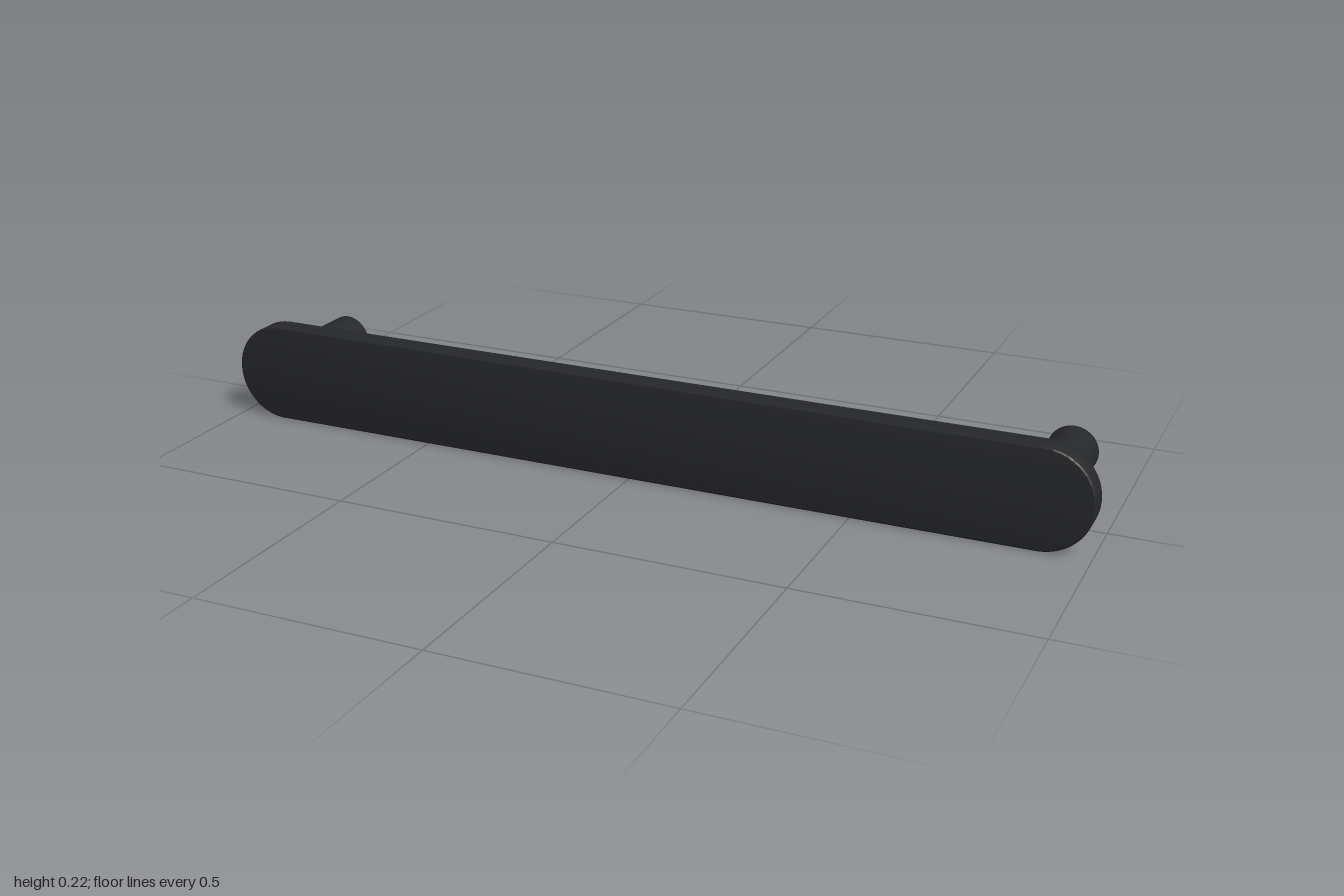
import * as THREE from 'three';
import { toCreasedNormals } from 'three/addons/utils/BufferGeometryUtils.js';

const R = 0.111;        // half height of the bar
const END = 1 - R;      // centre of each rounded end
const BACK = -0.144, BAR_BACK = 0.09, FRONT = 0.144;

export function createModel() {
  const model = new THREE.Group();
  model.name = 'pullHandle';
  const material = new THREE.MeshStandardMaterial({ color: 0x262729 });

  // Flat bar with fully rounded ends and a fine softened edge
  const outline = new THREE.Shape();
  outline.moveTo(-END, -R);
  outline.lineTo(END, -R);
  outline.absarc(END, 0, R, -Math.PI / 2, Math.PI / 2, false);
  outline.lineTo(-END, R);
  outline.absarc(-END, 0, R, Math.PI / 2, Math.PI * 1.5, false);
  const edge = 0.004;
  const barGeometry = new THREE.ExtrudeGeometry(outline, {
    depth: FRONT - BAR_BACK - 2 * edge,
    curveSegments: 32,
    bevelThickness: edge,
    bevelSize: edge,
    bevelOffset: -edge,
    bevelSegments: 3,
  });
  barGeometry.translate(0, R, BAR_BACK + edge);
  const bar = new THREE.Mesh(toCreasedNormals(barGeometry, 0.6), material);
  bar.name = 'gripBar';
  model.add(bar);

  // Round mounting posts behind each end, sunk slightly into the bar
  const postFront = BAR_BACK + 0.005;
  const postGeometry = new THREE.CylinderGeometry(0.054, 0.054, postFront - BACK, 48);
  postGeometry.rotateX(Math.PI / 2);
  for (const side of [-1, 1]) {
    const post = new THREE.Mesh(postGeometry, material);
    post.name = side > 0 ? 'leftPost' : 'rightPost';
    post.position.set(side * END, R, (postFront + BACK) / 2);
    model.add(post);
  }
  return model;
}
